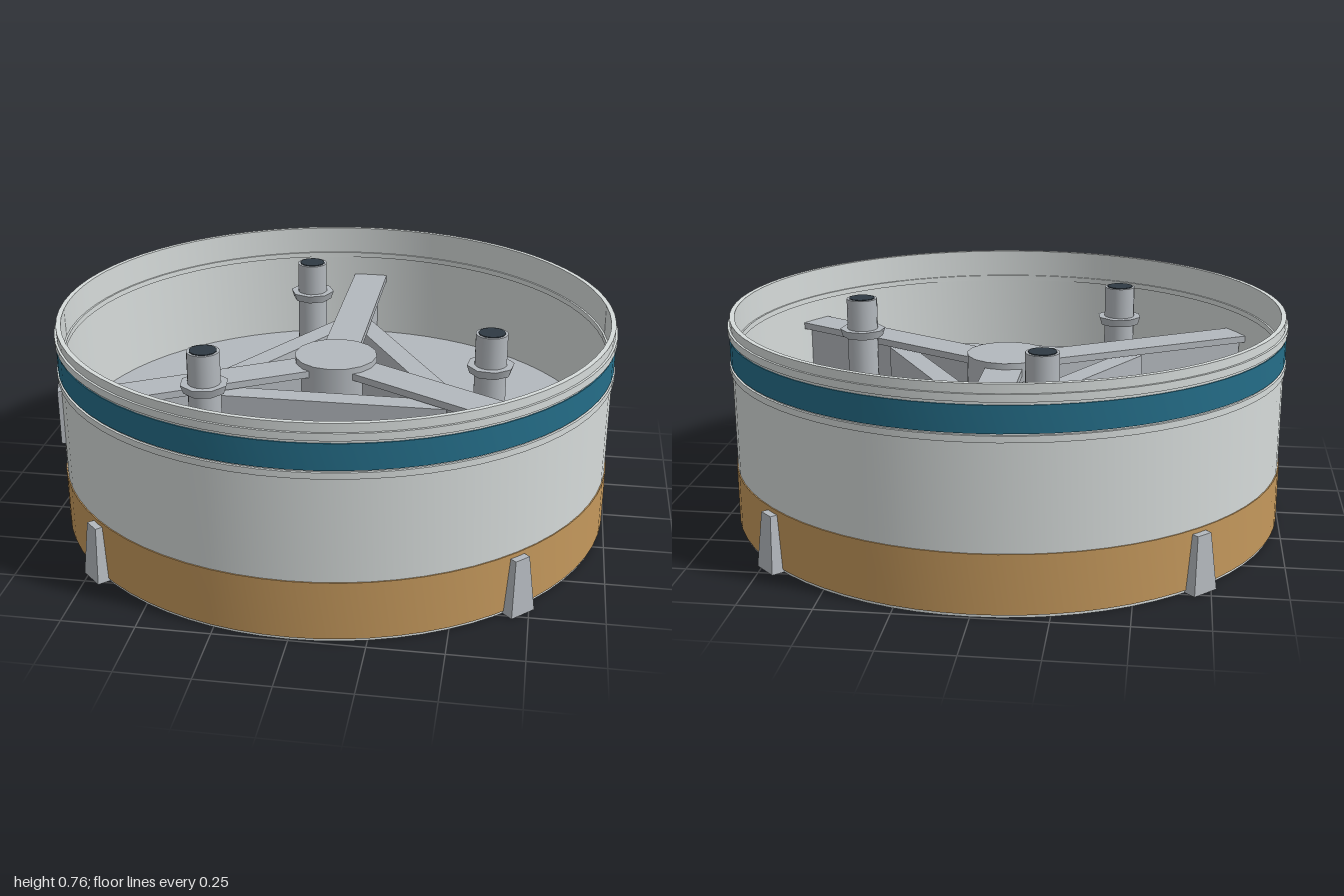
import * as THREE from 'three';
import { toCreasedNormals } from 'three/addons/utils/BufferGeometryUtils.js';

const mat = (name, color) => {
  const m = new THREE.MeshStandardMaterial({ color });
  m.name = name;
  return m;
};

export function createModel() {
  const white = mat('pale shell', 0xd6dbda);
  const grey = mat('structural grey', 0xb3b8bd);
  const tan = mat('tan heat shield', 0xc4985c);
  const blue = mat('blue band', 0x246d88);
  const dark = mat('dark opening', 0x2f3a43);

  const root = new THREE.Group();
  root.name = 'drumModule';

  const add = (parent, name, geo, material, x = 0, y = 0, z = 0) => {
    const m = new THREE.Mesh(geo, material);
    m.name = name;
    m.position.set(x, y, z);
    parent.add(m);
    return m;
  };
  // closed rectangular ring with sharp edges
  const ring = (r0, r1, y0, y1) => {
    const pts = [[r0, y0], [r1, y0], [r1, y1], [r0, y1], [r0, y0]];
    const g = new THREE.LatheGeometry(pts.map(p => new THREE.Vector2(...p)), 72);
    return toCreasedNormals(g, 0.6);
  };
  const cyl = (rt, rb, h, n) => new THREE.CylinderGeometry(rt, rb, h, n);

  // Shell and its bands
  add(root, 'shellWall', ring(0.975, 0.992, 0, 0.76), white);
  add(root, 'lowerBand', ring(0.985, 0.996, 0.01, 0.215), tan);
  add(root, 'blueBand', ring(0.985, 0.996, 0.605, 0.695), blue);
  add(root, 'upperRidge', ring(0.985, 1.0, 0.705, 0.73), white);
  add(root, 'lowerRidge', ring(0.985, 1.0, 0.578, 0.6), white);
  for (const y of [0.115, 0.645]) add(root, 'innerRidge', ring(0.968, 0.98, y - 0.01, y + 0.01), white);

  // Deck with heat shield underneath
  add(root, 'deck', cyl(0.98, 0.98, 0.015, 72), grey, 0, 0.2925);
  add(root, 'heatShield', cyl(0.98, 0.98, 0.008, 72), tan, 0, 0.281);
  add(root, 'hub', cyl(0.15, 0.15, 0.29, 16), grey, 0, 0.435);

  // Three-fold symmetric frame, underside pads and posts
  for (let i = 0; i < 3; i++) {
    const sector = new THREE.Group();
    sector.name = 'sector';
    sector.rotation.y = (i * Math.PI * 2) / 3;
    root.add(sector);

    add(sector, 'spokeFlange', new THREE.BoxGeometry(0.135, 0.025, 0.875), grey, 0, 0.545, -0.5375);
    add(sector, 'spokeWeb', new THREE.BoxGeometry(0.06, 0.24, 0.86), grey, 0, 0.415, -0.54);
    add(sector, 'brace', new THREE.BoxGeometry(0.86, 0.15, 0.08), grey, 0, 0.45, 0.27);
    add(sector, 'undersidePad', cyl(0.22, 0.22, 0.03, 40), grey, 0, 0.267, -0.57);

    const post = new THREE.Group();
    post.name = 'post';
    post.position.set(-0.18, 0, -0.55);
    sector.add(post);
    add(post, 'postBase', cyl(0.085, 0.085, 0.03, 8), grey, 0, 0.31);
    add(post, 'postStem', cyl(0.057, 0.057, 0.44, 16), grey, 0, 0.52);
    add(post, 'postCollar', cyl(0.085, 0.075, 0.03, 8), grey, 0, 0.61);
    add(post, 'postOpening', cyl(0.048, 0.048, 0.004, 12), dark, 0, 0.741);
  }

  // Tapered feet at the four diagonals
  const foot = new THREE.BoxGeometry(0.1, 0.2, 0.07);
  const p = foot.attributes.position;
  for (let i = 0; i < p.count; i++) {
    if (p.getY(i) > 0) {
      p.setX(i, p.getX(i) * 0.6);
      if (p.getZ(i) > 0) p.setZ(i, p.getZ(i) - 0.015);
    }
  }
  foot.computeVertexNormals();
  for (let i = 0; i < 4; i++) {
    const a = Math.PI / 4 + (i * Math.PI) / 2;
    const m = add(root, 'foot', foot, grey, Math.sin(a), 0.1, Math.cos(a));
    m.rotation.y = a;
  }

  // Side hatch
  const a = THREE.MathUtils.degToRad(286.5);
  const hatch = add(root, 'sideHatch', new THREE.BoxGeometry(0.29, 0.2, 0.025), grey,
    Math.sin(a) * 0.984, 0.45, Math.cos(a) * 0.984);
  hatch.rotation.y = a;

  return root;
}
